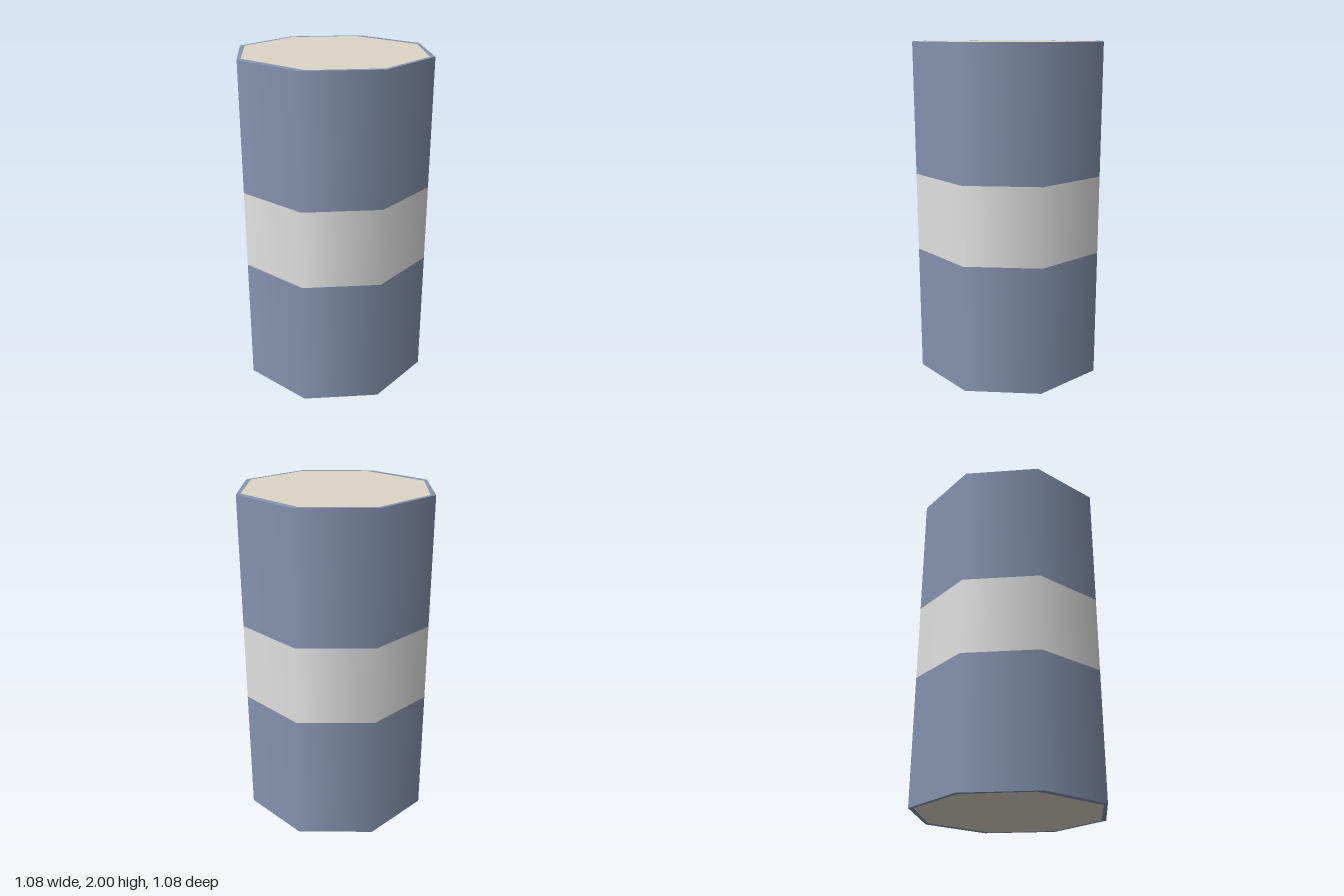
import * as THREE from 'three';

const HEIGHT = 2;
const APOTHEM = 0.54;
const CORNER = APOTHEM * Math.tan(Math.PI / 8);

// Octagon outline: flat sides at +-w and +-h, corners cut at cw and ch
function octagon(w, h, cw, ch) {
  return [
    [w, -ch], [w, ch], [cw, h], [-cw, h],
    [-w, ch], [-w, -ch], [-cw, -h], [cw, -h],
  ].map(([x, y]) => new THREE.Vector2(x, y));
}

export function createModel() {
  const blue = new THREE.MeshStandardMaterial({ color: 0x8795b2 });
  blue.name = 'slate blue';
  const white = new THREE.MeshStandardMaterial({ color: 0xe4e4e5 });
  white.name = 'off white';
  const beige = new THREE.MeshStandardMaterial({ color: 0xddd6c7 });
  beige.name = 'beige';

  const model = new THREE.Group();
  model.name = 'bandedDrum';

  function add(parent, name, geometry, material) {
    const mesh = new THREE.Mesh(geometry, material);
    mesh.name = name;
    parent.add(mesh);
    return mesh;
  }

  // Smooth-shaded eight-sided wall, split into three colour bands
  const bands = [
    ['lowerWall', 0, 0.77, blue],
    ['middleBand', 0.77, 1.235, white],
    ['upperWall', 1.235, HEIGHT, blue],
  ];
  const radius = APOTHEM / Math.cos(Math.PI / 8);
  for (const [name, y0, y1, material] of bands) {
    const wall = new THREE.CylinderGeometry(radius, radius, y1 - y0, 8, 1, true, Math.PI / 8);
    add(model, name, wall, material).position.y = (y0 + y1) / 2;
  }

  // End caps: a thin blue rim around a beige panel, flush with each other
  const panelOutline = octagon(0.5, 0.517, 0.205, 0.235);
  const rimShape = new THREE.Shape(octagon(APOTHEM, APOTHEM, CORNER, CORNER));
  rimShape.holes.push(new THREE.Path(panelOutline));
  const rim = new THREE.ShapeGeometry(rimShape);
  const panel = new THREE.ShapeGeometry(new THREE.Shape(panelOutline));

  for (const [name, y, turn] of [['top', HEIGHT, -1], ['bottom', 0, 1]]) {
    const cap = new THREE.Group();
    cap.name = name + 'Cap';
    cap.position.y = y;
    cap.rotation.x = turn * Math.PI / 2;
    add(cap, name + 'Rim', rim, blue);
    add(cap, name + 'Panel', panel, beige);
    model.add(cap);
  }

  return model;
}
